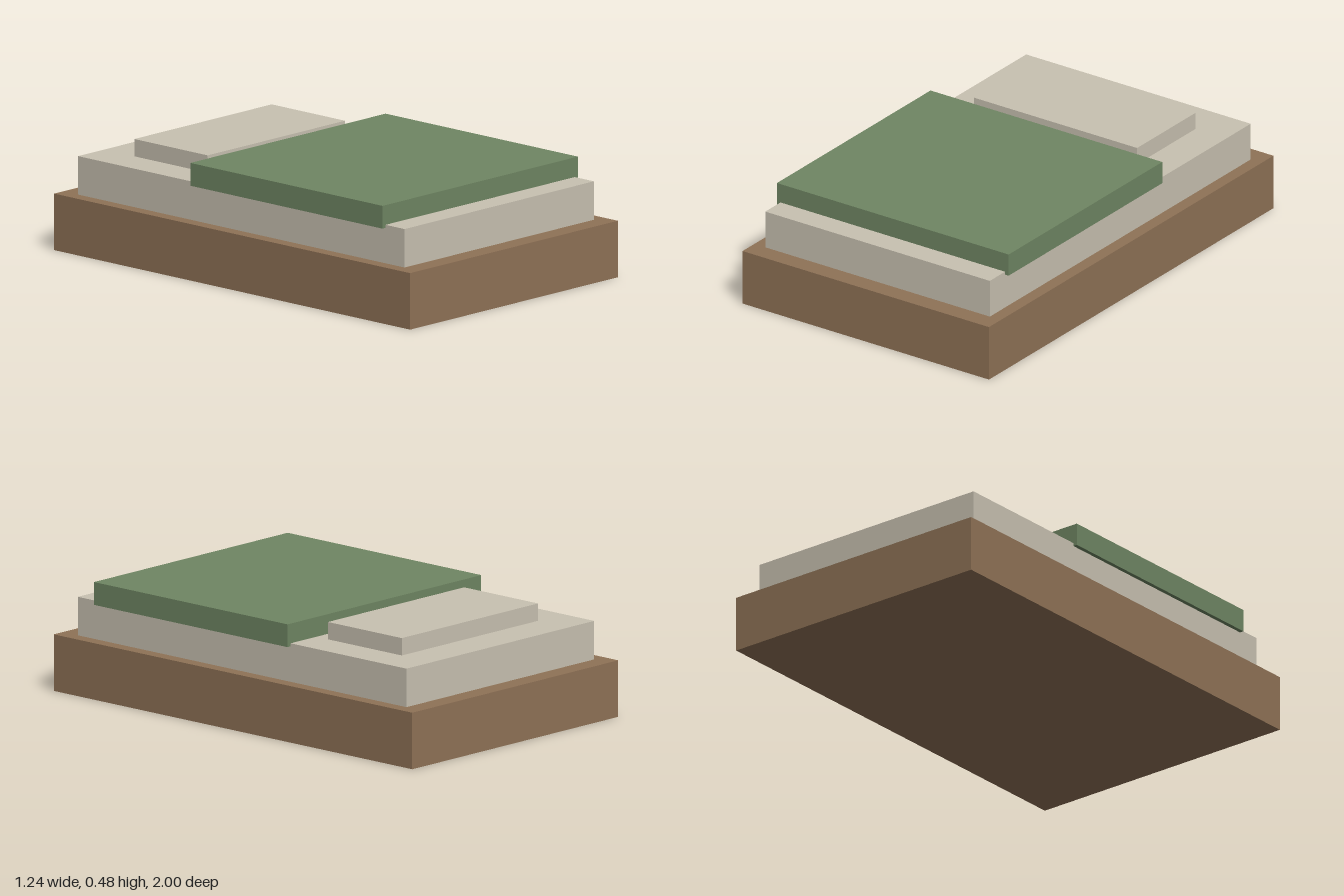
import * as THREE from 'three';

const material = (name, color) => {
  const m = new THREE.MeshStandardMaterial({ color });
  m.name = name;
  return m;
};

export function createModel() {
  const bed = new THREE.Group();
  bed.name = 'bed';

  const wood = material('brown wood', 0x8f7256);
  const linen = material('cream linen', 0xc8c1b1);
  const wool = material('green wool', 0x6f8663);

  // Box centred on x, given its width and its y and z extents
  const addBox = (name, mat, width, [y0, y1], [z0, z1]) => {
    const mesh = new THREE.Mesh(new THREE.BoxGeometry(width, y1 - y0, z1 - z0), mat);
    mesh.name = name;
    mesh.position.set(0, (y0 + y1) / 2, (z0 + z1) / 2);
    bed.add(mesh);
  };

  addBox('bedFrame', wood, 1.24, [0, 0.238], [-1, 1]);
  addBox('mattress', linen, 1.13, [0.238, 0.4], [-0.917, 0.917]);
  addBox('pillow', linen, 0.82, [0.4, 0.473], [-0.747, -0.335]);
  // Blanket overhangs the mattress sides slightly
  addBox('blanket', wool, 1.166, [0.387, 0.483], [-0.27, 0.81]);

  return bed;
}
